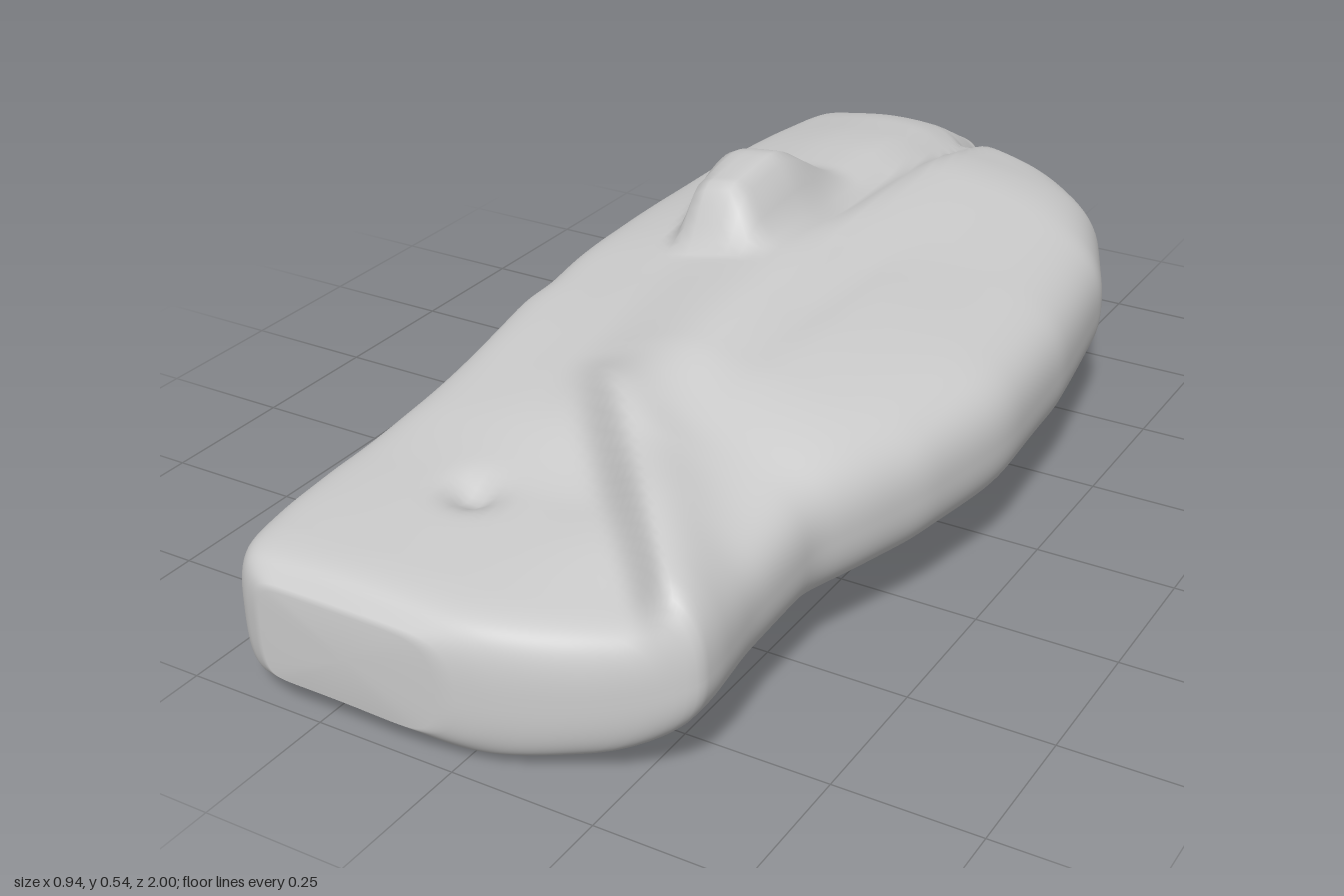
import * as THREE from 'three';

// Plan outline: [z, xMin, xMax]
const OUTLINE = [
  [-1, -0.35, -0.1], [-0.985, -0.375, -0.08], [-0.95, -0.39, -0.06], [-0.86, -0.415, -0.03],
  [-0.835, -0.42, 0.06], [-0.81, -0.425, 0.18], [-0.78, -0.428, 0.23], [-0.7, -0.437, 0.31],
  [-0.5, -0.45, 0.4], [-0.2, -0.452, 0.45], [0.05, -0.45, 0.468], [0.1, -0.452, 0.466],
  [0.16, -0.47, 0.457], [0.3, -0.47, 0.43], [0.42, -0.47, 0.39], [0.52, -0.47, 0.35],
  [0.7, -0.468, 0.345], [0.82, -0.46, 0.357], [0.88, -0.452, 0.35], [0.905, -0.447, 0.27],
  [0.95, -0.43, 0.15], [0.98, -0.4, 0.07], [1, -0.35, -0.02],
];

// Heights across the slab, each row [z, then y at five x columns]
const COLS = [-0.42, -0.21, 0, 0.2, 0.4];
const TOP = [
  [-1, 0.31, 0.31, 0.31, 0.31, 0.31], [-0.84, 0.37, 0.4, 0.375, 0.35, 0.33],
  [-0.6, 0.39, 0.43, 0.43, 0.4, 0.375], [-0.2, 0.39, 0.44, 0.45, 0.4, 0.385],
  [0, 0.38, 0.42, 0.45, 0.41, 0.385], [0.2, 0.34, 0.39, 0.44, 0.41, 0.385],
  [0.4, 0.29, 0.34, 0.42, 0.4, 0.375], [0.6, 0.265, 0.28, 0.29, 0.34, 0.355],
  [0.85, 0.26, 0.265, 0.265, 0.265, 0.32], [0.96, 0.25, 0.26, 0.255, 0.25, 0.28],
  [1, 0.215, 0.215, 0.215, 0.215, 0.215],
];
const BOTTOM = [
  [-1, 0.27, 0.27, 0.27, 0.27, 0.27], [-0.965, 0.14, 0.13, 0.13, 0.13, 0.14],
  [-0.8, 0.1, 0.1, 0.1, 0.1, 0.11], [-0.6, 0.07, 0.06, 0.06, 0.07, 0.095],
  [-0.3, 0.08, 0.06, 0.065, 0.075, 0.09], [-0.1, 0.13, 0.09, 0.085, 0.09, 0.1],
  [0.05, 0.17, 0.14, 0.1, 0.1, 0.1], [0.15, 0.07, 0.06, 0.1, 0.1, 0.1],
  [0.25, 0.01, 0.01, 0.09, 0.1, 0.1], [0.5, 0.005, 0, 0.05, 0.09, 0.1],
  [0.8, 0.005, 0, 0.005, 0.035, 0.1], [0.95, 0.01, 0.015, 0.005, 0.035, 0.1],
  [1, 0.055, 0.055, 0.05, 0.06, 0.1],
];

const smooth = (a, b, v) => {
  const t = Math.min(1, Math.max(0, (v - a) / (b - a)));
  return t * t * (3 - 2 * t);
};

// Locate v in a sorted list: segment index and fraction
function locate(keys, v) {
  let i = 0;
  while (i < keys.length - 2 && v > keys[i + 1]) i++;
  return [i, Math.min(1, Math.max(0, (v - keys[i]) / (keys[i + 1] - keys[i])))];
}

function rowAt(rows, z) {
  const [i, t] = locate(rows.map((r) => r[0]), z);
  return rows[i].map((a, k) => a + (rows[i + 1][k] - a) * t).slice(1);
}

// Average nearby rows so the faces flow without bands
function softRow(rows, z, width) {
  const w = Math.min(width, (1 - Math.abs(z)) * 0.6);
  const samples = [-1, -0.75, -0.5, -0.25, 0, 0.25, 0.5, 0.75, 1].map((s) => rowAt(rows, z + s * w));
  return samples[0].map((_, k) => samples.reduce((sum, row) => sum + row[k], 0) / samples.length);
}

// Smooth interpolation across the five columns
function across(row, x) {
  const [i, t] = locate(COLS, x);
  const p = (k) => row[Math.min(4, Math.max(0, k))];
  const [a, b, c, d] = [p(i - 1), p(i), p(i + 1), p(i + 2)];
  return b + 0.5 * t * (c - a + t * (2 * a - 5 * b + 4 * c - d + t * (3 * (b - c) + d - a)));
}

// Knob, groove, diagonal ridge, dent and hollow on the upper face
function topDetail(x, z) {
  const k = x + 0.16;
  const left = 0.115 - 0.055 * smooth(-0.25, 0.04, z);
  const knob = 0.1 * Math.exp(-(k < 0 ? (k / left) ** 6 : (k / 0.08) ** 4))
    * smooth(0.04, -0.05, z) * smooth(-0.42, -0.18, z);
  const g = x + 0.04;
  const groove = -0.03 * Math.exp(-((g / (g < 0 ? 0.05 : 0.03)) ** 2)) * smooth(0, -0.3, z);
  const t = (z - 0.42) / 0.46;
  const off = x - (-0.1 + 0.42 * t);
  const ridge = 0.07 * Math.exp(-((off / (off < 0 ? 0.04 : 0.13)) ** 2))
    * smooth(-0.15, 0.3, t) * smooth(1.12, 0.9, t);
  const dent = -0.03 * Math.exp(-((x + 0.17) ** 2 + (z - 0.69) ** 2) / 0.0016);
  const hollow = -0.02 * Math.exp(-(((x - 0.1) / 0.05) ** 2) - ((z - 0.05) / 0.3) ** 2);
  return knob + groove + ridge + dent + hollow;
}

// Loft closed cross-sections along z
function slabGeometry() {
  const zs = [];
  for (let i = 0; i <= 150; i++) zs.push(Math.sin((i / 150 - 0.5) * Math.PI) * 0.5 + (i / 150 - 0.5));
  const half = 80, ring = half * 2, pos = [], index = [];
  for (const z of zs) {
    const [xMin, xMax] = softRow(OUTLINE, z, 0.025);
    const top = softRow(TOP, z, 0.07), bottom = softRow(BOTTOM, z, 0.05);
    for (let k = 0; k < ring; k++) {
      const upper = k < half;
      const s = upper ? 1 - (2 * k) / half : -1 + (2 * (k - half)) / half;
      const u = Math.sin((Math.PI / 2) * Math.sin((s * Math.PI) / 2));
      const x = (xMin + xMax) / 2 + (u * (xMax - xMin)) / 2;
      // The left flank is squarer than the right one
      const f = Math.max(0, 1 - Math.abs(u) ** (u < 0 ? 14 : 6)) ** (u < 0 ? 1 / 3 : 0.4);
      const t = across(top, x), b = across(bottom, x), mid = (t + b) / 2;
      const notch = 0.03 * Math.exp(-(((x + 0.15) / 0.05) ** 2)) * smooth(0.5, 0.8, z) * smooth(1, 0.96, z);
      const y = upper ? mid + (t + topDetail(x, z) - mid) * f : mid + (b + notch - mid) * f;
      pos.push(x, Math.max(0, y), z);
    }
  }
  const rows = zs.length;
  for (let r = 0; r < rows - 1; r++) {
    for (let k = 0; k < ring; k++) {
      const a = r * ring + k, b = r * ring + ((k + 1) % ring);
      index.push(a, b, a + ring, b, b + ring, a + ring);
    }
  }
  // End caps as fans around the middle of each end ring
  for (const [r, front] of [[0, false], [rows - 1, true]]) {
    const c = pos.length / 3, start = r * ring;
    const sum = [0, 0, 0];
    for (let k = 0; k < ring * 3; k++) sum[k % 3] += pos[start * 3 + k] / ring;
    pos.push(...sum);
    for (let k = 0; k < ring; k++) {
      const a = start + k, b = start + ((k + 1) % ring);
      index.push(c, ...(front ? [a, b] : [b, a]));
    }
  }
  const geo = new THREE.BufferGeometry();
  geo.setAttribute('position', new THREE.Float32BufferAttribute(pos, 3));
  geo.setIndex(index);
  geo.computeVertexNormals();
  return geo;
}

export function createModel() {
  const group = new THREE.Group();
  group.name = 'rock';
  const slab = new THREE.Mesh(slabGeometry(), new THREE.MeshStandardMaterial({ color: 0xcccccc }));
  slab.name = 'rockSlab';
  group.add(slab);
  return group;
}
